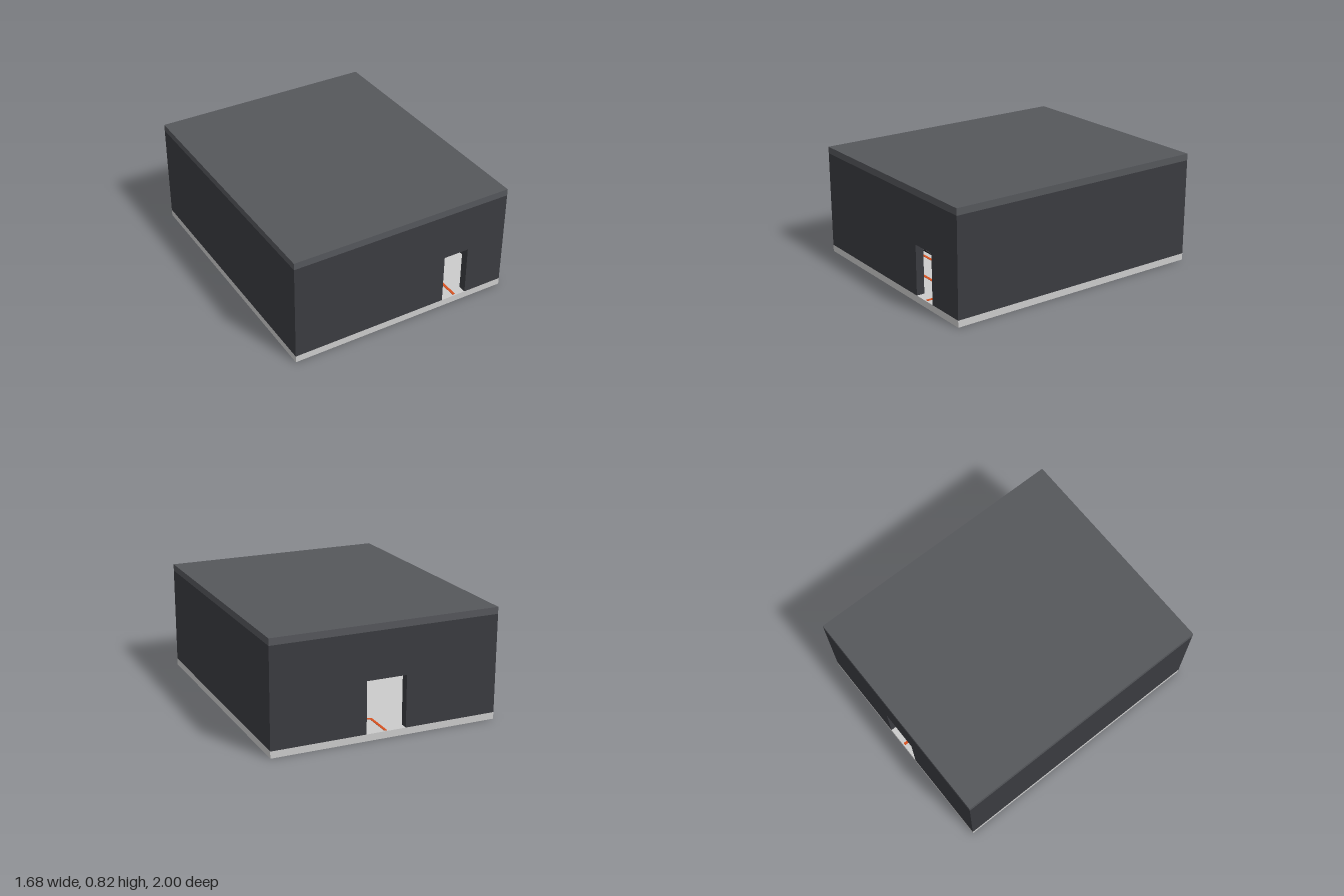
import * as THREE from 'three';

const W = 0.84, D = 1, T = 0.06;      // half width, half depth, wall thickness
const FLOOR = 0.05, CEIL = 0.77, TOP = 0.82;

const mat = (color) => new THREE.MeshStandardMaterial({ color });
const wallMat = mat(0x3a3b40), roofMat = mat(0x55575b), slabMat = mat(0xcccccc);
const panelMat = mat(0xc9c5ba), darkMat = mat(0x2b2c30), lineMat = mat(0xd8501e);

// Box given by its lower and upper limits on each axis
function box(parent, name, material, [x0, x1], [y0, y1], [z0, z1]) {
  const mesh = new THREE.Mesh(new THREE.BoxGeometry(x1 - x0, y1 - y0, z1 - z0), material);
  mesh.position.set((x0 + x1) / 2, (y0 + y1) / 2, (z0 + z1) / 2);
  mesh.name = name;
  parent.add(mesh);
  return mesh;
}

// End wall with a doorway cut up from the floor
function endWall(parent, name, z, d0, d1, doorTop) {
  const outline = [[-W, FLOOR], [d0, FLOOR], [d0, doorTop], [d1, doorTop], [d1, FLOOR],
    [W, FLOOR], [W, CEIL], [-W, CEIL]];
  const shape = new THREE.Shape(outline.map(([x, y]) => new THREE.Vector2(x, y)));
  const mesh = new THREE.Mesh(
    new THREE.ExtrudeGeometry(shape, { depth: T, bevelEnabled: false }), wallMat);
  mesh.position.z = z;
  mesh.name = name;
  parent.add(mesh);
}

// Painted floor line through a list of [x, z] points
function floorLine(parent, points) {
  for (let i = 1; i < points.length; i++) {
    const [ax, az] = points[i - 1], [bx, bz] = points[i];
    const length = Math.hypot(bx - ax, bz - az);
    const mesh = new THREE.Mesh(new THREE.BoxGeometry(length + 0.02, 0.003, 0.02), lineMat);
    mesh.position.set((ax + bx) / 2, FLOOR + 0.0015, (az + bz) / 2);
    mesh.rotation.y = -Math.atan2(bz - az, bx - ax);
    mesh.name = 'floorLine';
    parent.add(mesh);
  }
}

export function createModel() {
  const model = new THREE.Group();
  model.name = 'hall';

  // Shell
  box(model, 'floorSlab', slabMat, [-W, W], [0, FLOOR], [-D, D]);
  box(model, 'roof', roofMat, [-W, W], [CEIL, TOP], [-D, D]);
  for (const s of [-1, 1]) {
    const x = s * (W - T / 2);
    box(model, s > 0 ? 'leftWall' : 'rightWall', wallMat,
      [x - T / 2, x + T / 2], [FLOOR, CEIL], [-D + T, D - T]);
  }
  endWall(model, 'frontWall', D - T, 0.34, 0.535, 0.42);
  endWall(model, 'backWall', -D, -0.148, 0.148, 0.43);

  // Ceiling light strips
  for (const x of [-0.53, 0.53])
    box(model, 'lightStrip', slabMat, [x - 0.006, x + 0.006], [CEIL - 0.01, CEIL], [-0.8, 0.8]);

  // Painted walkway and its branches
  const markings = new THREE.Group();
  markings.name = 'floorMarkings';
  floorLine(markings, [[0, -0.98], [0, -0.77], [0.525, -0.41], [0.525, -0.05], [0.45, 0.1], [0.45, 0.98]]);
  floorLine(markings, [[0.45, 0.775], [-0.6, 0.775]]);
  floorLine(markings, [[0.25, 0.57], [-0.6, 0.57]]);
  model.add(markings);

  // Machine housing on a dark plinth
  const machine = new THREE.Group();
  machine.name = 'machine';
  box(machine, 'machinePlinth', darkMat, [-0.5, 0.13], [FLOOR, 0.07], [-0.05, 0.52]);
  box(machine, 'machineHousing', slabMat, [-0.5, 0.14], [0.07, 0.32], [-0.06, 0.53]);
  model.add(machine);

  // Row of cabinets along the back wall
  const cabinets = new THREE.Group();
  cabinets.name = 'cabinets';
  box(cabinets, 'cabinetPlinth', darkMat, [0.33, 0.75], [FLOOR, 0.083], [-0.93, -0.81]);
  box(cabinets, 'cabinetBody', darkMat, [0.33, 0.75], [0.083, 0.295], [-0.93, -0.81]);
  for (let i = 0; i < 4; i++) {
    const x = 0.343 + i * 0.1;
    box(cabinets, 'cabinetDoor', panelMat, [x, x + 0.095], [0.085, 0.284], [-0.81, -0.803]);
  }
  model.add(cabinets);

  // Desk with a monitor
  const desk = new THREE.Group();
  desk.name = 'desk';
  box(desk, 'deskBase', slabMat, [0.495, 0.68], [0.06, 0.165], [0.2, 0.45]);
  box(desk, 'deskPlinth', darkMat, [0.5, 0.675], [FLOOR, 0.06], [0.21, 0.44]);
  box(desk, 'deskTop', darkMat, [0.5, 0.69], [0.165, 0.185], [0.19, 0.46]);
  box(desk, 'monitorStand', darkMat, [0.58, 0.6], [0.185, 0.2], [0.31, 0.33]);
  box(desk, 'monitor', darkMat, [0.52, 0.66], [0.195, 0.255], [0.31, 0.325]);
  model.add(desk);

  // Low counter
  const counter = new THREE.Group();
  counter.name = 'counter';
  box(counter, 'counterBase', slabMat, [0.22, 0.348], [FLOOR, 0.175], [-0.25, -0.1]);
  box(counter, 'counterTop', darkMat, [0.21, 0.352], [0.175, 0.2], [-0.26, -0.09]);
  model.add(counter);

  return model;
}
